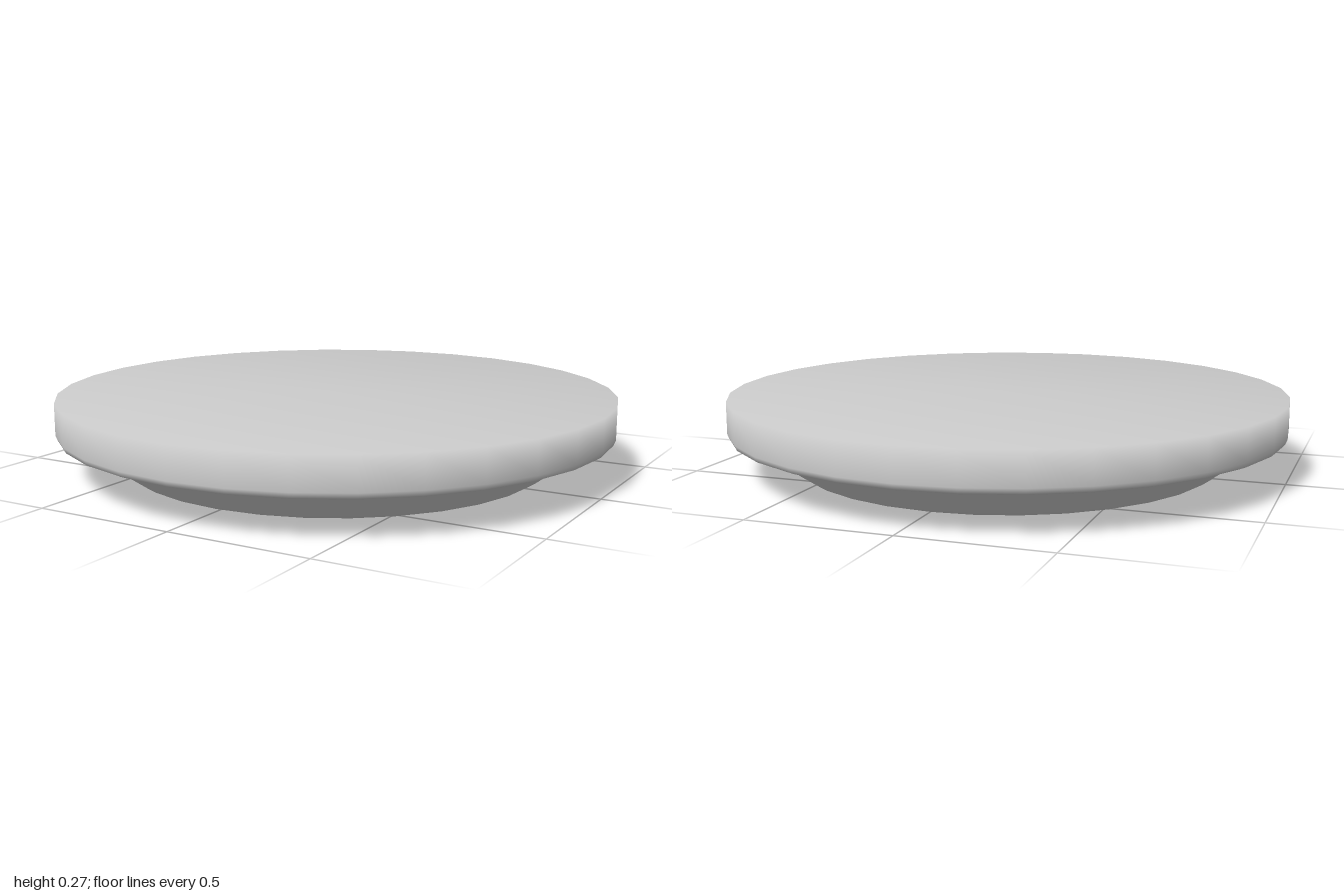
import * as THREE from 'three';
import { mergeVertices } from 'three/addons/utils/BufferGeometryUtils.js';

const SIDES = 32;

export function createModel() {
  const group = new THREE.Group();
  group.name = 'roundPlate';
  const material = new THREE.MeshStandardMaterial({ color: 0xcccccc });

  // Body: from the edge of the underside recess, round the foot and rim, to the centre of the top
  const profile = [
    [0.515, 0.11], [0.645, 0.025], [0.67, 0.008], [0.695, 0], // recess slope
    [0.725, 0], [0.75, 0.008], [0.775, 0.024],                // foot ring
    [0.9, 0.12], [0.92, 0.13],                                // outer slope
    [0.975, 0.13], [0.992, 0.137], [1, 0.155],                // rounded lower rim
    [1, 0.268], [0, 0.268],                                   // rim wall and flat top
  ].map(([r, y]) => new THREE.Vector2(r, y));
  const lathe = new THREE.LatheGeometry(profile, SIDES);
  lathe.deleteAttribute('normal');
  lathe.deleteAttribute('uv');
  // Shared vertices give area-weighted smooth shading over the whole body
  const bodyGeometry = mergeVertices(lathe, 1e-4);
  bodyGeometry.computeVertexNormals();
  const body = new THREE.Mesh(bodyGeometry, material);
  body.name = 'plateBody';
  group.add(body);

  // Flat floor of the recess, facing down
  const floorGeometry = new THREE.CircleGeometry(0.515, SIDES).rotateX(Math.PI / 2);
  const floor = new THREE.Mesh(floorGeometry, material);
  floor.name = 'recessFloor';
  floor.position.y = 0.11;
  group.add(floor);

  return group;
}
